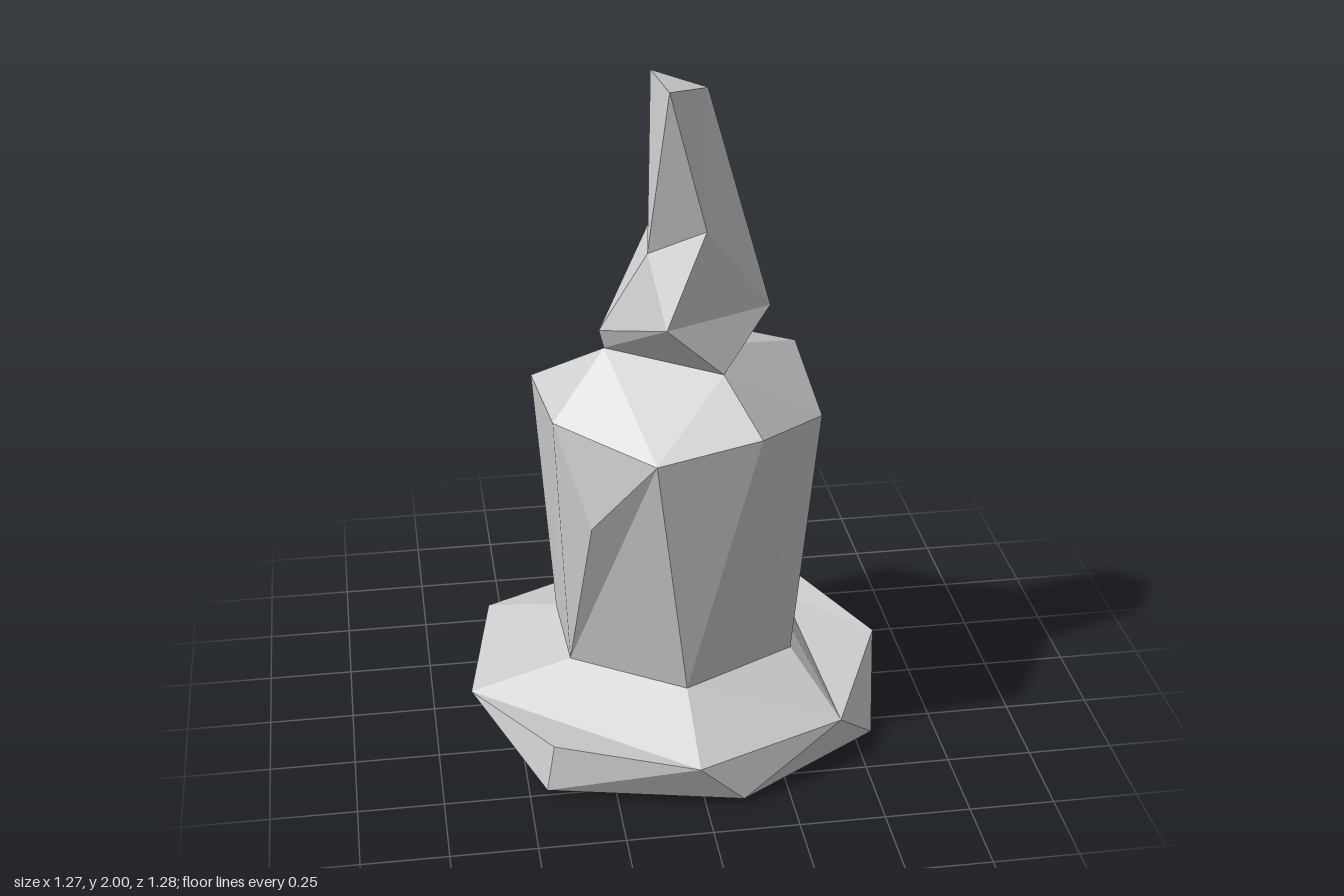
import * as THREE from 'three';

const material = new THREE.MeshStandardMaterial({
  color: 0xcccccc, flatShading: true, side: THREE.DoubleSide,
});

// Cross-sections, each listed from the front round through +x
const baseFoot = [[0.11, 0.02, 0.63], [0.55, 0.015, 0.34], [0.61, 0.005, -0.21],
  [-0.1, 0, -0.64], [-0.585, 0.01, -0.29], [-0.45, 0.02, 0.505]];
const rim = [[-0.02, 0.14, 0.64], [0.43, 0.14, 0.45], [0.635, 0.14, -0.03], [0.43, 0.14, -0.5],
  [-0.095, 0.13, -0.6], [-0.55, 0.14, -0.36], [-0.64, 0.14, 0.135], [-0.425, 0.155, 0.485]];
const brimDip = [0.405, 0.125, -0.31];
const bodyFoot = [[-0.02, 0.25, 0.38], [0.33, 0.23, 0.17], [0.33, 0.235, -0.2],
  [0, 0.22, -0.37], [-0.35, 0.24, -0.17], [-0.34, 0.24, 0.15]];
const shoulder = [[-0.11, 1, 0.405], [0.19, 1.06, 0.4], [0.42, 0.98, 0.11], [0.4, 1.08, -0.21],
  [0.23, 0.94, -0.355], [-0.02, 1.055, -0.44], [-0.21, 0.98, -0.38], [-0.41, 1.05, -0.145],
  [-0.375, 1.03, 0.145]];
const bulge = [-0.285, 0.76, 0.3];
const neck = [[0.11, 1.18, 0.21], [0.2, 1.17, -0.02], [0.11, 1.18, -0.165], [-0.21, 1.2, 0.02]];
const spireFoot = [[-0.055, 1.33, 0.22], [0.27, 1.32, 0.055], [0.235, 1.305, -0.095],
  [-0.015, 1.26, -0.275], [-0.225, 1.26, 0.03]];
const spireMid = [[0.07, 1.59, 0.14], [-0.06, 1.51, -0.135], [-0.09, 1.51, 0.08]];
const tip = [[-0.035, 2, 0.14], [0.1, 1.95, -0.04], [-0.05, 1.98, -0.13]];

// Angles round the y axis, always increasing, with the start repeated at the end
function angles(ring) {
  const out = [];
  for (const [x, , z] of [...ring, ring[0]]) {
    let a = Math.atan2(x, z);
    while (out.length && a < out[out.length - 1]) a += Math.PI * 2;
    out.push(a);
  }
  return out;
}

// Joins two rings of any number of corners, advancing whichever comes next by angle
function stitch(low, high) {
  const a = angles(low), b = angles(high), triangles = [];
  const L = (i) => low[i % low.length], H = (j) => high[j % high.length];
  let i = 0, j = 0;
  while (i < low.length || j < high.length) {
    if (j === high.length || (i < low.length && a[i + 1] <= b[j + 1])) {
      triangles.push([L(i), L(i + 1), H(j)]);
      i++;
    } else {
      triangles.push([L(i), H(j + 1), H(j)]);
      j++;
    }
  }
  return triangles;
}

function part(name, triangles) {
  const geometry = new THREE.BufferGeometry();
  geometry.setAttribute('position', new THREE.Float32BufferAttribute(triangles.flat(2), 3));
  geometry.computeVertexNormals();
  const mesh = new THREE.Mesh(geometry, material);
  mesh.name = name;
  return mesh;
}

// Hollow flared base, open underneath, with a notch in the back edge
function baseFaces() {
  const wall = stitch(baseFoot, rim)
    .filter((t) => !(t.includes(baseFoot[2]) && t.includes(baseFoot[3])));
  const inner = [rim[0], rim[1], brimDip, ...rim.slice(3, 7)];
  return [...wall, ...stitch(inner, bodyFoot),
    [rim[1], rim[2], brimDip], [rim[2], rim[3], brimDip], [rim[6], rim[7], rim[0]]];
}

// Tapered body with a bulge below one shoulder edge, narrowing to the neck
function bodyFaces() {
  return [...stitch(bodyFoot, [...shoulder, bulge]),
    [shoulder[8], bulge, shoulder[0]], ...stitch(shoulder, neck)];
}

// Crooked spire: undercut collar, irregular sides and a slanted three-cornered tip
function spireFaces() {
  const [n0, n1, n2, n3] = neck;
  const [f0, f1, f2, f3, f4] = spireFoot;
  const [m0, m1, m2] = spireMid;
  const [t0, t1, t2] = tip;
  return [
    [n0, f1, f0], [n0, f2, f1], [n0, n1, f2], [n1, n2, f2], [n2, f3, f2],
    [n2, f4, f3], [n2, n3, f4], [n3, f0, f4], [n3, n0, f0],
    [f0, f1, m0], [f1, t1, m0], [f1, f2, t1], [f2, m1, t1], [f2, f3, m1],
    [f3, f4, m1], [f4, m2, m1], [f4, f0, m2], [f0, m0, m2],
    [m0, t1, t0], [m1, t2, t1], [m1, m2, t2], [m2, t0, t2], [m2, m0, t0],
    tip,
  ];
}

export function createModel() {
  const group = new THREE.Group();
  group.name = 'facetedSpire';
  group.add(part('base', baseFaces()), part('body', bodyFaces()), part('spire', spireFaces()));
  return group;
}
